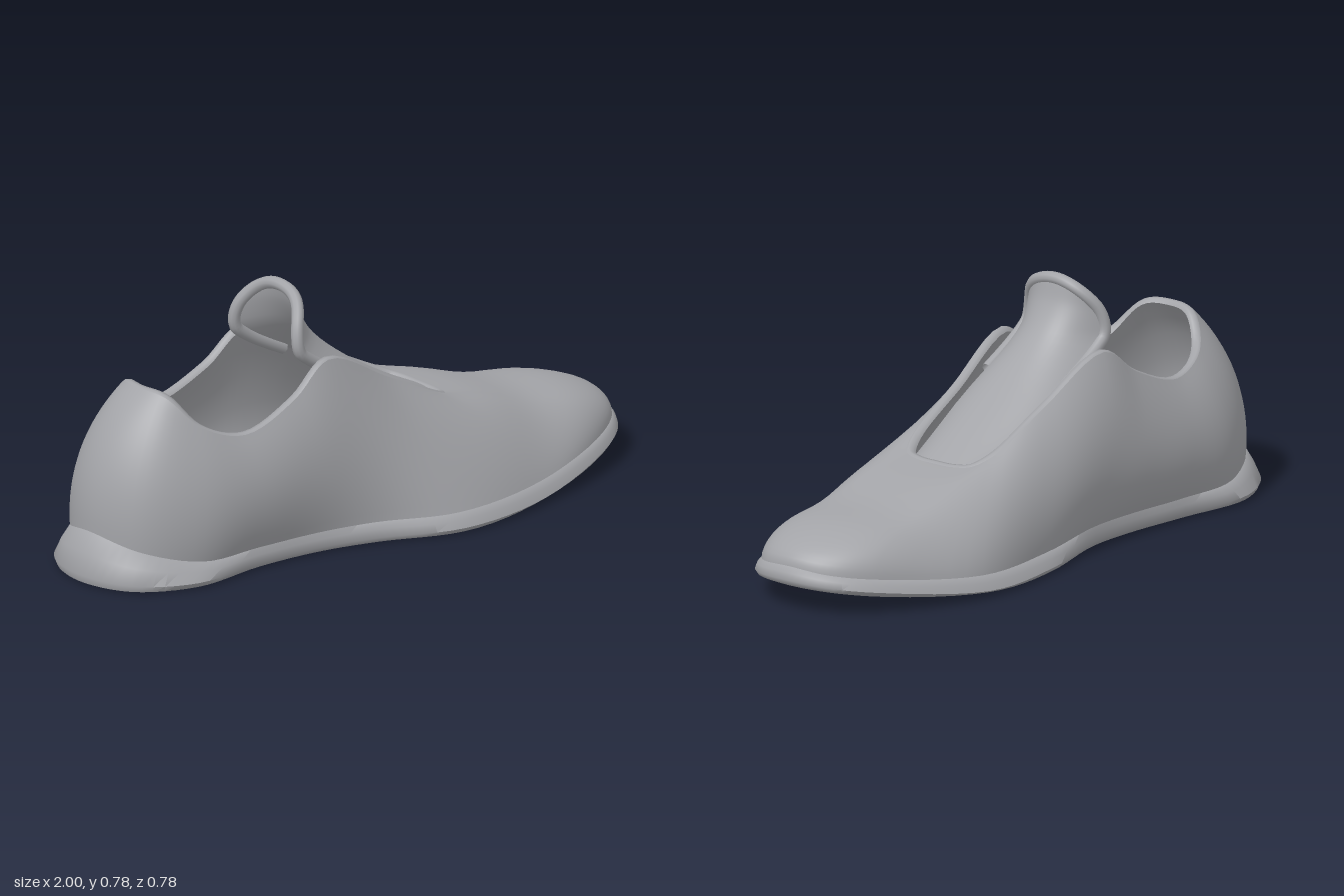
import * as THREE from 'three';
import { toCreasedNormals } from 'three/addons/utils/BufferGeometryUtils.js';

const N = 120; // samples around the shoe
const V = (x, y, z) => new THREE.Vector3(x, y, z);
// height of the toe spring at a given length
const spring = (x) => 0.08 * Math.pow(Math.max(0, (x - 0.2) / 0.8), 2);

// Closed ring, heel -> left side -> toe -> right side, sampled evenly per control point
function ring(points) {
  const curve = new THREE.CatmullRomCurve3(points.map((p) => V(...p)), true);
  return Array.from({ length: N }, (_, i) => curve.getPoint(i / N));
}

// Moves a ring inward in plan and shifts it in height
function inset(r, d, dy) {
  return r.map((p, i) => {
    const t = r[(i + 1) % N].clone().sub(r[(i + N - 1) % N]);
    const len = Math.hypot(t.x, t.z) || 1;
    return V(p.x + (t.z / len) * d, p.y + dy, p.z - (t.x / len) * d);
  });
}

const mix = (a, b, t) => a.map((p, i) => p.clone().lerp(b[i], t));

// Curved step from sole to opening, with the vamp sagging behind the toe box
function bend(a, c, b, t) {
  return mix(mix(a, c, t), mix(c, b, t), t).map((p) => {
    const sag = 0.03 * Math.exp(-(((p.x - 0.6) / 0.15) ** 2)) * 4 * t * (1 - t);
    return V(p.x, p.y - sag, p.z);
  });
}

// Shrinks a ring towards the middle of the foot, following the toe spring
const shrink = (r, k, y) => r.map((p) => V(p.x * k, y + spring(p.x * k), -0.02 + (p.z + 0.02) * k));

// Skin over a list of equal rows
function loft(rows, closed = true) {
  const n = rows[0].length, pos = [], idx = [];
  rows.forEach((r) => r.forEach((p) => pos.push(p.x, p.y, p.z)));
  for (let j = 0; j < rows.length - 1; j++) {
    for (let i = 0; i < (closed ? n : n - 1); i++) {
      const k = (i + 1) % n;
      const a = j * n + i, b = j * n + k, c = a + n, d = b + n;
      idx.push(a, b, d, a, d, c);
    }
  }
  const g = new THREE.BufferGeometry();
  g.setAttribute('position', new THREE.Float32BufferAttribute(pos, 3));
  g.setIndex(idx);
  g.computeVertexNormals();
  return g;
}

export function createModel() {
  const group = new THREE.Group();
  const grey = new THREE.MeshStandardMaterial({ color: 0xa3a4a8, side: THREE.DoubleSide });
  grey.name = 'grey';
  const add = (name, geometry) => {
    const mesh = new THREE.Mesh(geometry, grey);
    mesh.name = name;
    group.add(mesh);
  };

  // Widest line of the sole
  const edge = ring([
    [-1, 0.03, -0.05], [-0.94, 0.025, 0.13], [-0.76, 0.02, 0.228], [-0.5, 0.02, 0.215], [-0.28, 0.02, 0.235],
    [-0.1, 0.02, 0.285], [0.15, 0.018, 0.383], [0.5, 0.022, 0.348], [0.85, 0.07, 0.225], [0.965, 0.09, 0.125],
    [1, 0.1, -0.01],
    [0.965, 0.09, -0.135], [0.85, 0.07, -0.245], [0.5, 0.022, -0.382], [0.18, 0.018, -0.363], [-0.1, 0.02, -0.29],
    [-0.28, 0.02, -0.285], [-0.5, 0.02, -0.305], [-0.76, 0.02, -0.328], [-0.94, 0.025, -0.225],
  ]);
  // Line where the upper meets the sole
  const base = ring([
    [-0.947, 0.15, -0.05], [-0.89, 0.115, 0.11], [-0.72, 0.07, 0.198], [-0.5, 0.065, 0.205], [-0.28, 0.065, 0.225],
    [-0.1, 0.065, 0.268], [0.15, 0.06, 0.355], [0.5, 0.065, 0.32], [0.838, 0.105, 0.207], [0.95, 0.125, 0.115],
    [0.982, 0.138, -0.01],
    [0.95, 0.125, -0.125], [0.838, 0.105, -0.227], [0.5, 0.065, -0.354], [0.18, 0.06, -0.336], [-0.1, 0.065, -0.285],
    [-0.28, 0.065, -0.282], [-0.5, 0.065, -0.298], [-0.72, 0.07, -0.3], [-0.89, 0.115, -0.21],
  ]);
  // Swell of the upper between sole and opening
  const swell = ring([
    [-0.955, 0.4, -0.045], [-0.9, 0.37, 0.12], [-0.72, 0.27, 0.24], [-0.5, 0.25, 0.28], [-0.3, 0.28, 0.28],
    [-0.14, 0.3, 0.268], [0.12, 0.27, 0.278], [0.47, 0.235, 0.275], [0.845, 0.24, 0.195], [0.955, 0.242, 0.105],
    [0.99, 0.242, -0.01],
    [0.955, 0.242, -0.12], [0.845, 0.24, -0.222], [0.47, 0.235, -0.337], [0.13, 0.26, -0.355], [-0.14, 0.28, -0.375],
    [-0.3, 0.25, -0.385], [-0.5, 0.23, -0.38], [-0.72, 0.26, -0.345], [-0.9, 0.37, -0.22],
  ]);
  // Edge of the foot opening, mirrored about its own centre line
  const half = [
    [-0.747, 0.556, 0.06], [-0.675, 0.468, 0.14], [-0.53, 0.42, 0.175], [-0.34, 0.485, 0.175],
    [-0.2, 0.575, 0.165], [0.05, 0.455, 0.142], [0.25, 0.355, 0.125], [0.322, 0.324, 0.088], [0.343, 0.317, 0.03],
  ];
  const opening = ring([
    [-0.77, 0.566, -0.037], ...half, [0.345, 0.316, -0.037],
    ...half.map(([x, y, z]) => [x, y, -0.074 - z]).reverse(),
  ]);

  // Sole: flat tread, rounded lip, sloping side wall
  const tread = inset(edge, 0.03, 0).map((p) => V(p.x, spring(p.x), p.z));
  const lip = inset(edge, 0.008, 0).map((p) => V(p.x, spring(p.x) + 0.005, p.z));
  add('sole', toCreasedNormals(loft([
    ...[0, 0.25, 0.5, 0.75].map((k) => shrink(tread, k, 0)), tread, lip, edge,
    inset(mix(edge, base, 0.5), -0.003, 0.002), base, inset(base, 0.02, 0.005),
  ]), 0.9));

  // Upper
  const steps = Array.from({ length: 17 }, (_, i) => i / 16);
  add('upper', loft(steps.map((t) => bend(base, swell, opening, t))));

  // Rolled collar, lining and insole
  const floor = inset(base, 0.03, 0).map((p) => V(p.x, 0.08 + spring(p.x), p.z));
  add('collar', loft([
    opening, inset(opening, 0.007, 0.005), inset(opening, 0.02, 0.004), inset(opening, 0.028, -0.008),
  ]));
  add('lining', loft([
    inset(opening, 0.028, -0.008),
    ...[0.85, 0.7, 0.5, 0.3].map((t) => inset(bend(base, swell, opening, t), 0.025, -0.012)), floor,
  ]));
  add('insole', loft([floor, ...[0.75, 0.5, 0.25, 0].map((k) => shrink(floor, k, 0.08))]));

  // Tongue: arched sheet with a rounded top, its edges curling back above the collar
  const spine = new THREE.CatmullRomCurve3([
    V(0.37, 0.295, 0), V(0.2, 0.38, 0), V(0, 0.502, 0), V(-0.125, 0.607, 0), V(-0.182, 0.69, 0), V(-0.205, 0.762, 0),
  ]);
  const tonguePoint = (s, t) => {
    const k = Math.max(0, (s - 0.64) / 0.36);
    const w = 0.147 * Math.sqrt(Math.max(0, 1 - k * k)) * t;
    const drop = Math.abs(w / 0.147) ** 2.5;
    const curl = THREE.MathUtils.smoothstep(s, 0.3, 0.65) * (0.115 - 0.06 * k);
    const p = spine.getPoint(s);
    return V(p.x - curl * drop, p.y - 0.065 * (1 - s) * drop, -0.037 + w);
  };
  const rows = Array.from({ length: 29 }, (_, j) => 1 - (1 - j / 28) ** 2);
  const across = Array.from({ length: 21 }, (_, i) => 1 - i / 10);
  add('tongue', loft(rows.map((s) => across.map((t) => tonguePoint(s, t))), false));

  // Padded rim around the tongue, sitting slightly behind its face
  const rise = rows.filter((s) => s > 0.4);
  const rim = [
    ...rise.map((s) => tonguePoint(s, 1)),
    ...rise.slice(0, -1).reverse().map((s) => tonguePoint(s, -1)),
  ].map((p) => V(p.x - 0.012, p.y, p.z));
  add('tongueRim', new THREE.TubeGeometry(new THREE.CatmullRomCurve3(rim), 90, 0.019, 10));

  return group;
}
